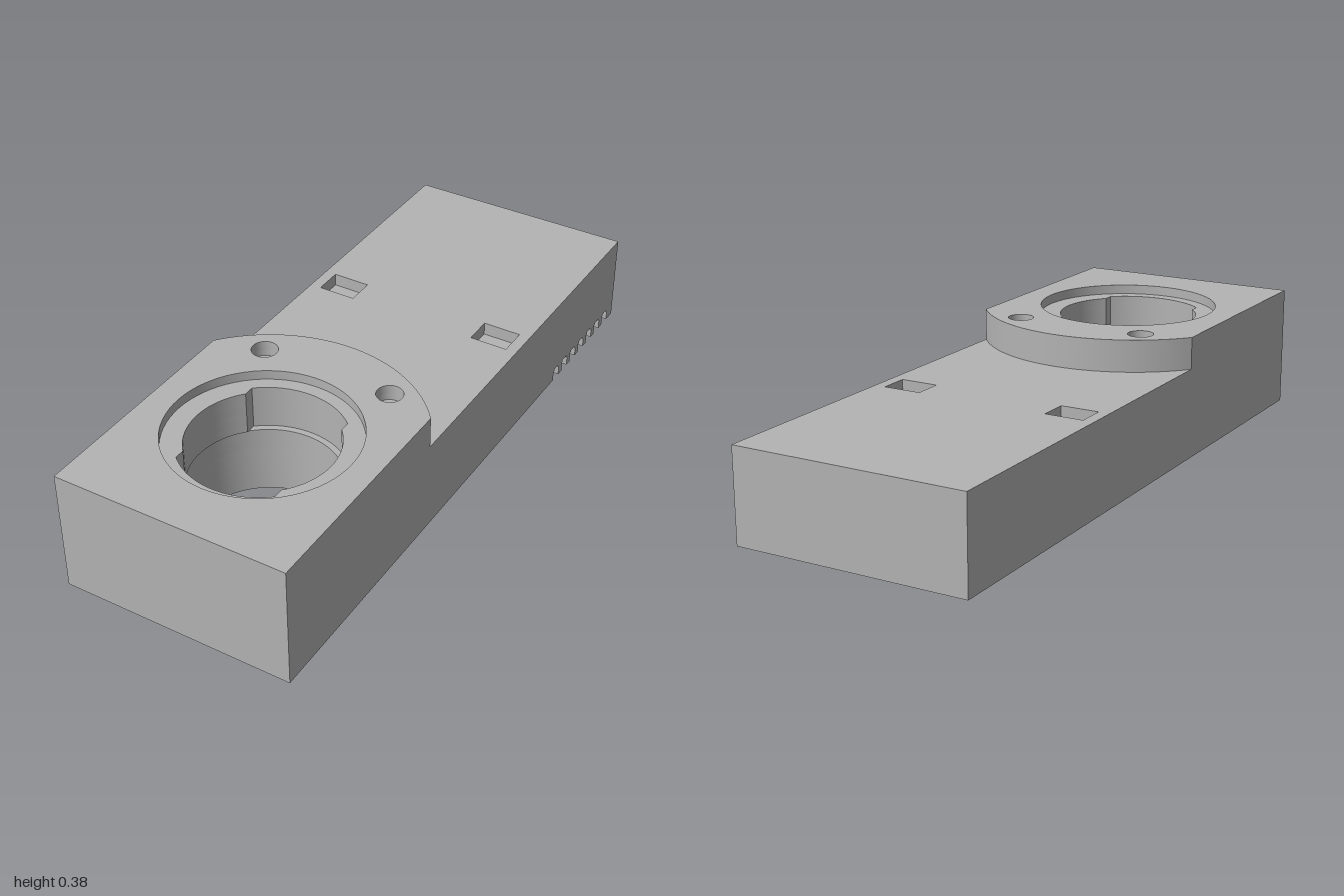
import * as THREE from 'three';
import { toCreasedNormals } from 'three/addons/utils/BufferGeometryUtils.js';

const W = 0.365, WALL = 0.062, CZ = 0.557; // half width, wall thickness, bore centre
const CEILING = 0.155, DECK = 0.285, TOP = 0.385;

// Plan points are [x, z]
const arc = (r, a0, a1, n, cx = 0, cz = CZ) =>
  Array.from({ length: n + 1 }, (_, i) => {
    const a = a0 + ((a1 - a0) * i) / n;
    return [cx + r * Math.cos(a), cz - r * Math.sin(a)];
  });
const circle = (r, cx = 0, cz = CZ, n = 72) => arc(r, 0, 2 * Math.PI, n, cx, cz).slice(0, n);
const rect = (x0, x1, z0, z1) => [[x0, z1], [x1, z1], [x1, z0], [x0, z0]];
const toVectors = (pts) => pts.map(([x, z]) => new THREE.Vector2(x, -z));

export function createModel() {
  const group = new THREE.Group();
  const grey = new THREE.MeshStandardMaterial({ color: 0xb3b3b3 });
  grey.name = 'plain grey';

  // Horizontal slab of a plan outline between two heights
  const slab = (name, y0, y1, outline, holes = []) => {
    const shape = new THREE.Shape(toVectors(outline));
    shape.holes = holes.map((h) => new THREE.Path(toVectors(h)));
    const geo = new THREE.ExtrudeGeometry(shape, { depth: y1 - y0, bevelEnabled: false });
    geo.rotateX(-Math.PI / 2).translate(0, y0, 0);
    const mesh = new THREE.Mesh(toCreasedNormals(geo, 0.5), grey);
    mesh.name = name;
    group.add(mesh);
  };

  const body = rect(-W, W, -1, 1);
  const cavity = rect(-W + WALL, W - WALL, -1 + WALL, 1 - WALL);

  // Body outline with a row of vent notches along the left wall
  const notched = (width) => {
    const pts = [[-W, 1], [W, 1]];
    for (let i = 0; i < 7; i++) {
      const z = -0.57 - i * 0.0616, h = width / 2;
      pts.push([W, z + h], [W - 0.03, z + h], [W - 0.03, z - h], [W, z - h]);
    }
    return [...pts, [W, -1], [-W, -1]];
  };

  // Bore with two wider bayonet slots, front and back
  const H = Math.PI / 2, slotA = Math.asin(0.16 / 0.243), sideA = H - Math.asin(0.16 / 0.22);
  const slotted = [0, Math.PI].flatMap((t) => [
    ...arc(0.22, t - sideA, t + sideA, 20),
    ...arc(0.243, t + H - slotA, t + H + slotA, 24),
  ]);
  const bore = circle(0.224);

  // Hollow lower walls and the tube inside them
  slab('notchedWalls', 0, 0.033, notched(0.038), [cavity]);
  slab('notchTops', 0.033, 0.04, notched(0.028), [cavity]);
  slab('walls', 0.04, CEILING, body, [cavity]);
  slab('boreTube', 0, CEILING, circle(0.29), [bore]);

  // Deck with two blind rectangular pockets
  const pockets = [rect(-0.33, -0.21, -0.35, -0.26), rect(0.21, 0.33, -0.35, -0.26)];
  slab('deckBase', CEILING, 0.218, body, [bore]);
  slab('deckMiddle', 0.218, 0.245, body, [slotted]);
  slab('deckTop', 0.245, DECK, body, [slotted, ...pockets]);

  // Raised front block with rounded rear, pin holes and a round recess
  const a = Math.acos(W / 0.465);
  const block = [[-W, 1], [W, 1], ...arc(0.465, a, Math.PI - a, 40)];
  const pins = [-1, 1].map((s) => circle(0.04, s * 0.211, 0.23, 28));
  slab('blockBase', DECK, 0.335, block, [slotted]);
  slab('blockMiddle', 0.335, 0.355, block, [slotted, ...pins]);
  slab('blockTop', 0.355, TOP, block, [circle(0.283), ...pins]);

  return group;
}
